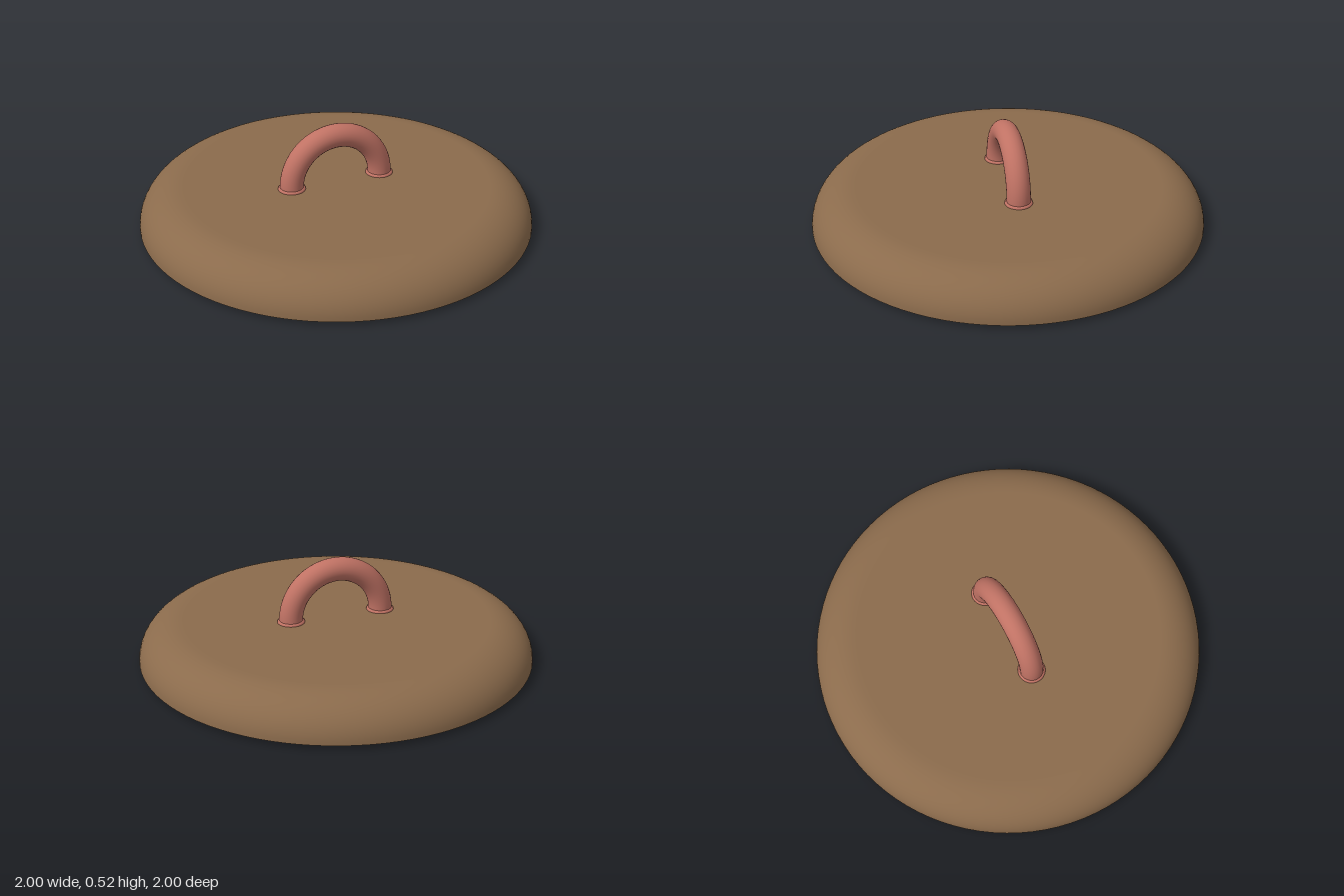
import * as THREE from 'three';

const mat = (color) => new THREE.MeshStandardMaterial({ color });

// Quarter ellipse from the flat (angle 90) to the side (angle 0)
function quarterArc(cx, cy, rx, ry, steps = 14) {
  const pts = [];
  for (let i = 0; i <= steps; i++) {
    const a = (Math.PI / 2) * (1 - i / steps);
    pts.push(new THREE.Vector2(cx + rx * Math.cos(a), cy + ry * Math.sin(a)));
  }
  return pts;
}

export function createModel() {
  const group = new THREE.Group();
  const lidMat = mat(0x8b6b4c);
  const linerMat = mat(0x444444);
  const handleMat = mat(0xc07264);
  const v = (x, y) => new THREE.Vector2(x, y);

  function add(name, geometry, material, parent = group) {
    const mesh = new THREE.Mesh(geometry, material);
    mesh.name = name;
    parent.add(mesh);
    return mesh;
  }

  // Rounded outer shell with a flat top
  const outer = quarterArc(0.78, 0.02, 0.22, 0.19).reverse();
  add('lidTop', new THREE.LatheGeometry([...outer, v(0.74, 0.21), v(0, 0.21)], 96), lidMat);

  // Slightly bevelled bottom rim
  add('lidRim', new THREE.LatheGeometry([v(0.92, 0), v(1, 0.02)], 96), lidMat);

  // Hollow underside
  const inner = quarterArc(0.78, 0, 0.14, 0.13);
  add('lidUnderside', new THREE.LatheGeometry([v(0, 0.13), v(0.74, 0.13), ...inner], 96), linerMat);

  // Half-ring handle
  const handle = new THREE.Group();
  handle.name = 'handle';
  group.add(handle);
  add('handleArch', new THREE.TorusGeometry(0.24, 0.06, 24, 48, Math.PI), handleMat, handle)
    .position.y = 0.22;

  // Feet and collars where the handle meets the lid
  for (const [side, x] of [['left', 0.24], ['right', -0.24]]) {
    add(side + 'HandleFoot', new THREE.CylinderGeometry(0.06, 0.06, 0.03, 24, 1, true), handleMat, handle)
      .position.set(x, 0.205, 0);
    const collar = add(side + 'HandleCollar', new THREE.TorusGeometry(0.058, 0.012, 10, 32), handleMat, handle);
    collar.rotation.x = Math.PI / 2;
    collar.position.set(x, 0.21, 0);
  }

  return group;
}
